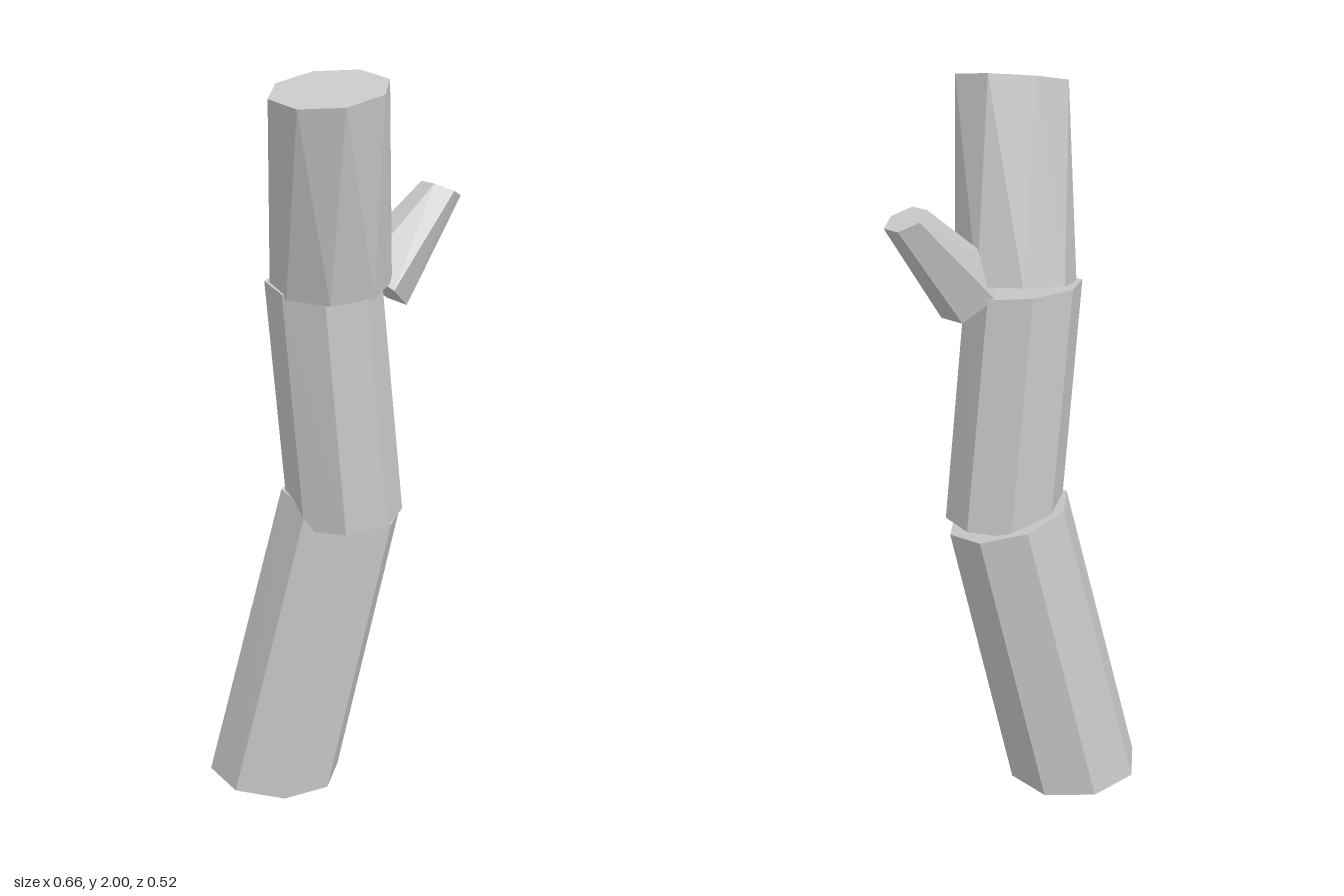
import * as THREE from 'three';

const bark = new THREE.MeshStandardMaterial({ color: 0xc8c8c8, flatShading: true });
bark.name = 'plain grey';

// Ring of points around a centre; turn in degrees, the ring plane tilts by slopeX and slopeZ
function ring({ at: [x, y, z], radius, turn, slopeX, slopeZ }, sides) {
  return Array.from({ length: sides }, (_, i) => {
    const a = THREE.MathUtils.degToRad(turn) + (i / sides) * Math.PI * 2;
    const dx = radius * Math.cos(a), dz = radius * Math.sin(a);
    return [x + dx, y + dx * slopeX + dz * slopeZ, z + dz];
  });
}

// Closed, faceted log between two tilted rings
function log(name, sides, bottom, top) {
  const b = ring(bottom, sides), t = ring(top, sides), points = [];
  for (let i = 0; i < sides; i++) {
    const j = (i + 1) % sides;
    points.push(b[i], t[i], t[j], b[i], t[j], b[j]);
    points.push(top.at, t[j], t[i], bottom.at, b[i], b[j]);
  }
  const geometry = new THREE.BufferGeometry();
  geometry.setAttribute('position', new THREE.Float32BufferAttribute(points.flat(), 3));
  geometry.computeVertexNormals();
  const mesh = new THREE.Mesh(geometry, bark);
  mesh.name = name;
  return mesh;
}

export function createModel() {
  const group = new THREE.Group();
  group.name = 'bareTrunk';
  group.add(
    // Leaning foot of the trunk
    log('lowerTrunk', 8,
      { at: [-0.155, 0.011, 0], radius: 0.186, turn: 27, slopeX: -0.06, slopeZ: 0.01 },
      { at: [0.03, 0.825, -0.052], radius: 0.166, turn: 27, slopeX: -0.26, slopeZ: 0.05 }),
    // Middle length, leaning back the other way
    log('middleTrunk', 8,
      { at: [0.045, 0.8, -0.03], radius: 0.158, turn: 37, slopeX: 0.05, slopeZ: -0.06 },
      { at: [-0.01, 1.445, 0], radius: 0.156, turn: 36, slopeX: -0.09, slopeZ: -0.05 }),
    // Upper length, leaning forward
    log('upperTrunk', 8,
      { at: [0.01, 1.455, 0.01], radius: 0.16, turn: 38, slopeX: 0, slopeZ: -0.16 },
      { at: [0.02, 1.966, 0.117], radius: 0.156, turn: 22.5, slopeX: 0.05, slopeZ: -0.21 }),
    // Side branch, tapering up and back
    log('branch', 6,
      { at: [0.12, 1.44, -0.055], radius: 0.085, turn: 48, slopeX: -0.6, slopeZ: 0.5 },
      { at: [0.28, 1.672, -0.21], radius: 0.054, turn: 46, slopeX: -0.32, slopeZ: 0.3 }),
  );
  return group;
}
